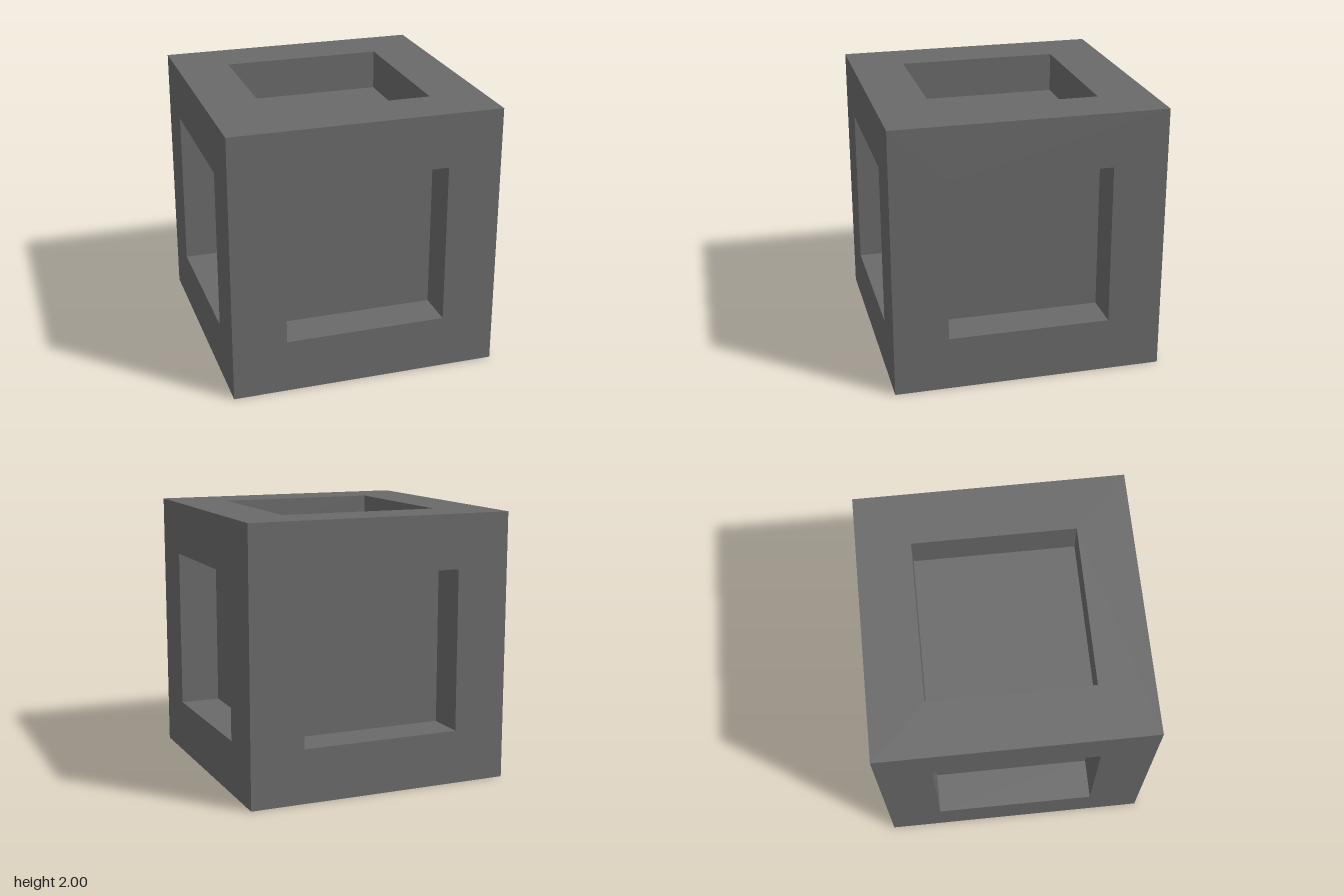
import * as THREE from 'three';
import { mergeGeometries } from 'three/addons/utils/BufferGeometryUtils.js';

const HALF = 1;       // half the cube's side
const OPENING = 0.6;  // half the width of each recess
const DEPTH = 0.3;    // depth of each recess

function squarePoints(r) {
  return [[-r, -r], [r, -r], [r, r], [-r, r]].map(([x, y]) => new THREE.Vector2(x, y));
}

// One side of the cube, facing +z: square rim, four recess walls and the recess floor
function createSideGeometry() {
  const rimShape = new THREE.Shape(squarePoints(HALF));
  rimShape.holes.push(new THREE.Path(squarePoints(OPENING).reverse()));
  const rim = new THREE.ShapeGeometry(rimShape).translate(0, 0, HALF);

  const floor = new THREE.PlaneGeometry(2 * OPENING, 2 * OPENING).translate(0, 0, HALF - DEPTH);

  const walls = [];
  for (let i = 0; i < 4; i++) {
    walls.push(new THREE.PlaneGeometry(2 * OPENING, DEPTH)
      .rotateX(-Math.PI / 2)
      .translate(0, -OPENING, HALF - DEPTH / 2)
      .rotateZ(i * Math.PI / 2));
  }
  return mergeGeometries([rim, floor, ...walls]);
}

export function createModel() {
  const model = new THREE.Group();
  model.name = 'recessedCube';

  const grey = new THREE.MeshStandardMaterial({ color: 0x6a6a6a });
  grey.name = 'grey';

  // The same recessed side, turned to all six directions
  const sideGeometry = createSideGeometry();
  const quarter = Math.PI / 2;
  const sides = [
    ['frontSide', 0, 0],
    ['leftSide', 0, quarter],
    ['backSide', 0, 2 * quarter],
    ['rightSide', 0, -quarter],
    ['topSide', -quarter, 0],
    ['bottomSide', quarter, 0],
  ];
  for (const [name, turnX, turnY] of sides) {
    const side = new THREE.Mesh(sideGeometry, grey);
    side.name = name;
    side.rotation.set(turnX, turnY, 0);
    side.position.y = HALF;
    model.add(side);
  }
  return model;
}
